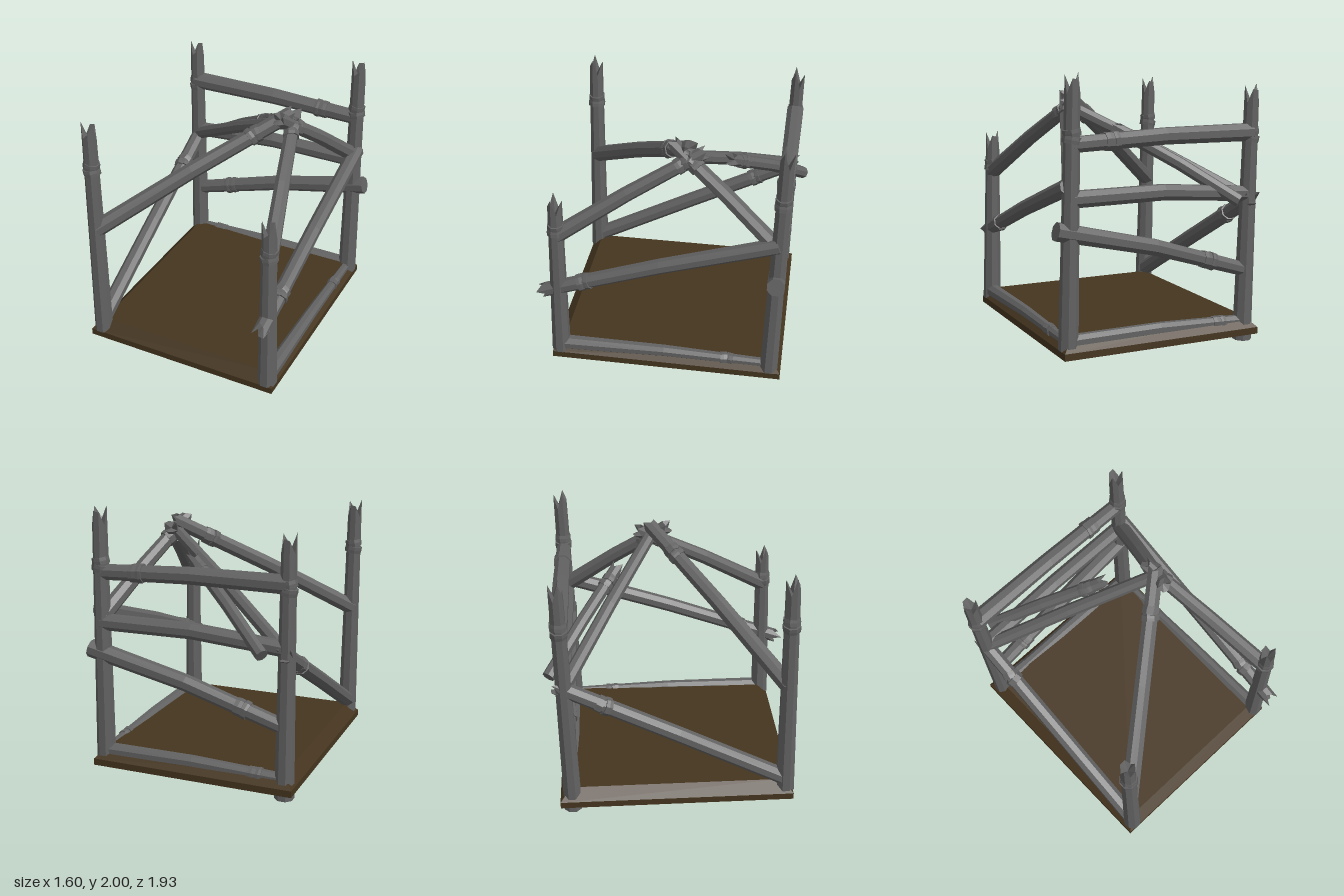
import * as THREE from 'three';

const SIDES = 8;

const wood = new THREE.MeshStandardMaterial({ color: 0x626262, flatShading: true });
wood.name = 'weathered grey wood';
const floorBrown = new THREE.MeshStandardMaterial({ color: 0x45351f, flatShading: true });
floorBrown.name = 'dark brown floor';

// Lofts a closed log through rings { p, r }; jag0 / jag1 are splinter lengths at its ends
function loft(rings, jag0 = 0, jag1 = 0) {
  const last = rings.length - 1;
  const axis = rings[last].p.clone().sub(rings[0].p).normalize();
  const up = Math.abs(axis.y) > 0.95 ? new THREE.Vector3(0, 0, 1) : new THREE.Vector3(0, 1, 0);
  const u = up.cross(axis).normalize();
  const w = axis.clone().cross(u);
  const points = [], index = [];
  rings.forEach(({ p, r }, k) => {
    for (let i = 0; i < SIDES; i++) {
      const a = ((i + 0.5) / SIDES) * Math.PI * 2;
      const splinter = 0.5 + 0.5 * Math.cos(i * 2.3);
      const shift = k === 0 ? -jag0 * splinter : k === last ? jag1 * splinter : 0;
      points.push(p.clone().addScaledVector(u, r * Math.cos(a)).addScaledVector(w, r * Math.sin(a)).addScaledVector(axis, shift));
    }
  });
  const cap = points.length;
  points.push(rings[0].p, rings[last].p);
  for (let i = 0; i < SIDES; i++) {
    const j = (i + 1) % SIDES;
    for (let k = 0; k < last; k++) {
      const a = k * SIDES + i, b = k * SIDES + j;
      index.push(a, b, b + SIDES, a, b + SIDES, a + SIDES);
    }
    index.push(cap, j, i, cap + 1, last * SIDES + i, last * SIDES + j);
  }
  const indexed = new THREE.BufferGeometry().setFromPoints(points);
  indexed.setIndex(index);
  const g = indexed.toNonIndexed();
  g.computeVertexNormals();
  return g;
}

// A log from a to b with a slightly bent middle and a rope-like band at fraction `band`
function log(name, a, b, { r0 = 0.062, r1 = 0.057, bend = 0.015, jag0 = 0, jag1 = 0, band = 0 } = {}) {
  const group = new THREE.Group();
  group.name = name;
  const at = (t) => {
    const p = a.clone().lerp(b, t);
    p.y += bend * (1 - Math.abs(2 * t - 1));
    return p;
  };
  const radius = (t) => r0 + (r1 - r0) * t;
  const add = (part, geometry) => {
    const mesh = new THREE.Mesh(geometry, wood);
    mesh.name = name + part;
    group.add(mesh);
  };
  add('Body', loft([0, 0.5, 1].map((t) => ({ p: at(t), r: radius(t) })), jag0, jag1));
  if (band) {
    const step = 0.025 / a.distanceTo(b);
    // Two turns, each tilted the opposite way
    for (const turn of [-1, 1]) {
      const m = band + turn * step, r = radius(band) * (1.14 - 0.03 * turn);
      const rings = [-1, 0, 1].map((e) => {
        const p = at(m + e * step);
        p.x += turn * e * 0.005;
        return { p, r: r * (e ? 1 : 1.03) };
      });
      add('Band', loft(rings));
    }
  }
  return group;
}

// Floor slab with a bevelled upper edge
function floorSlab() {
  const g = new THREE.BoxGeometry(1.55, 0.13, 1.75, 1, 2, 1);
  const p = g.attributes.position;
  for (let i = 0; i < p.count; i++) {
    const y = p.getY(i);
    if (y > 0.05) p.setXYZ(i, p.getX(i) - Math.sign(p.getX(i)) * 0.08, y, p.getZ(i) - Math.sign(p.getZ(i)) * 0.08);
    else if (y > -0.05) p.setY(i, -0.015);
  }
  g.computeVertexNormals();
  const slab = new THREE.Mesh(g, floorBrown);
  slab.name = 'floor';
  slab.position.set(-0.025, 0.115, -0.005);
  return slab;
}

// Point at height y on the axis of a leaning corner post
const onPost = (sx, sz, y) =>
  new THREE.Vector3(sx > 0 ? 0.69 - 0.015 * y : -0.72 - 0.012 * y, y, sz > 0 ? 0.815 - 0.02 * y : -0.79 - 0.02 * y);
const frontLeft = (y) => onPost(1, 1, y);
const frontRight = (y) => onPost(-1, 1, y);
const backLeft = (y) => onPost(1, -1, y);
const backRight = (y) => onPost(-1, -1, y);

export function createModel() {
  const model = new THREE.Group();
  model.name = 'timberFrame';
  model.add(floorSlab());
  const add = (name, a, b, options) => model.add(log(name, a, b, options));

  // Corner posts with splintered tops
  const addPost = (name, corner, foot, top, band) =>
    add(name, corner(foot), corner(top), { r0: 0.071, r1: 0.053, bend: 0, jag1: 0.14, band });
  addPost('frontRightPost', frontRight, 0.1, 1.75, 0.86);
  addPost('backRightPost', backRight, 0, 1.76, 0.87);
  addPost('backLeftPost', backLeft, 0.1, 1.86, 0.84);
  addPost('frontLeftPost', frontLeft, 0.1, 1.34, 0.89);

  // Rails across the back
  add('backTopRail', backRight(1.55), backLeft(1.52), { r0: 0.068, band: 0.79 });
  add('backMiddleRail', backRight(1.1), backLeft(1.15), { r0: 0.058, r1: 0.062, bend: 0.03 });
  const slopeEnd = backLeft(0.94);
  slopeEnd.x += 0.105;
  add('backSlopingRail', backRight(0.53), slopeEnd, { r0: 0.055, r1: 0.068, bend: 0.03, band: 0.21 });
  add('backBottomRail', backRight(0.14), backLeft(0.155), { r0: 0.045, r1: 0.053, band: 0.15 });

  // Rails and brace along the two sides
  add('leftBottomRail', frontLeft(0.155), backLeft(0.15), { r0: 0.058, r1: 0.034, band: 0.8 });
  const splinteredEnd = frontLeft(0.66);
  splinteredEnd.z += 0.07;
  const upperEnd = backLeft(1.24);
  upperEnd.x += 0.02;
  add('leftSlopingRail', splinteredEnd, upperEnd, { r0: 0.055, r1: 0.06, jag0: 0.1, band: 0.16 });
  add('rightDiagonalBrace', frontRight(0.2), backRight(1.05), { bend: 0.005, jag1: 0.1, band: 0.83 });

  // Rafters crossing at the off-centre peak
  const peak = (x, y, z) => new THREE.Vector3(0.4 + x, 1.76 + y, -0.13 + z);
  add('frontRightRafter', frontRight(1.01), peak(-0.01, 0.03, 0), { r0: 0.066, jag1: 0.05, band: 0.82 });
  add('frontLeftRafter', frontLeft(1.15), peak(0, -0.01, -0.08), { r1: 0.05, jag1: 0.06, band: 0.88 });
  add('backRightRafter', backRight(1.06), peak(0.02, -0.02, 0.01), { r0: 0.052, r1: 0.048, jag1: 0.04 });
  add('backLeftRafter', backLeft(1.19), peak(-0.03, 0.03, 0.1), { r1: 0.053, jag1: 0.05, band: 0.82 });

  // Loose pole leaning beside the back rafter
  add('leaningPole', new THREE.Vector3(-0.59, 1.07, -0.92), new THREE.Vector3(0.1, 1.55, -0.43), {
    r0: 0.048, r1: 0.048, jag1: 0.09, band: 0.9,
  });
  return model;
}
